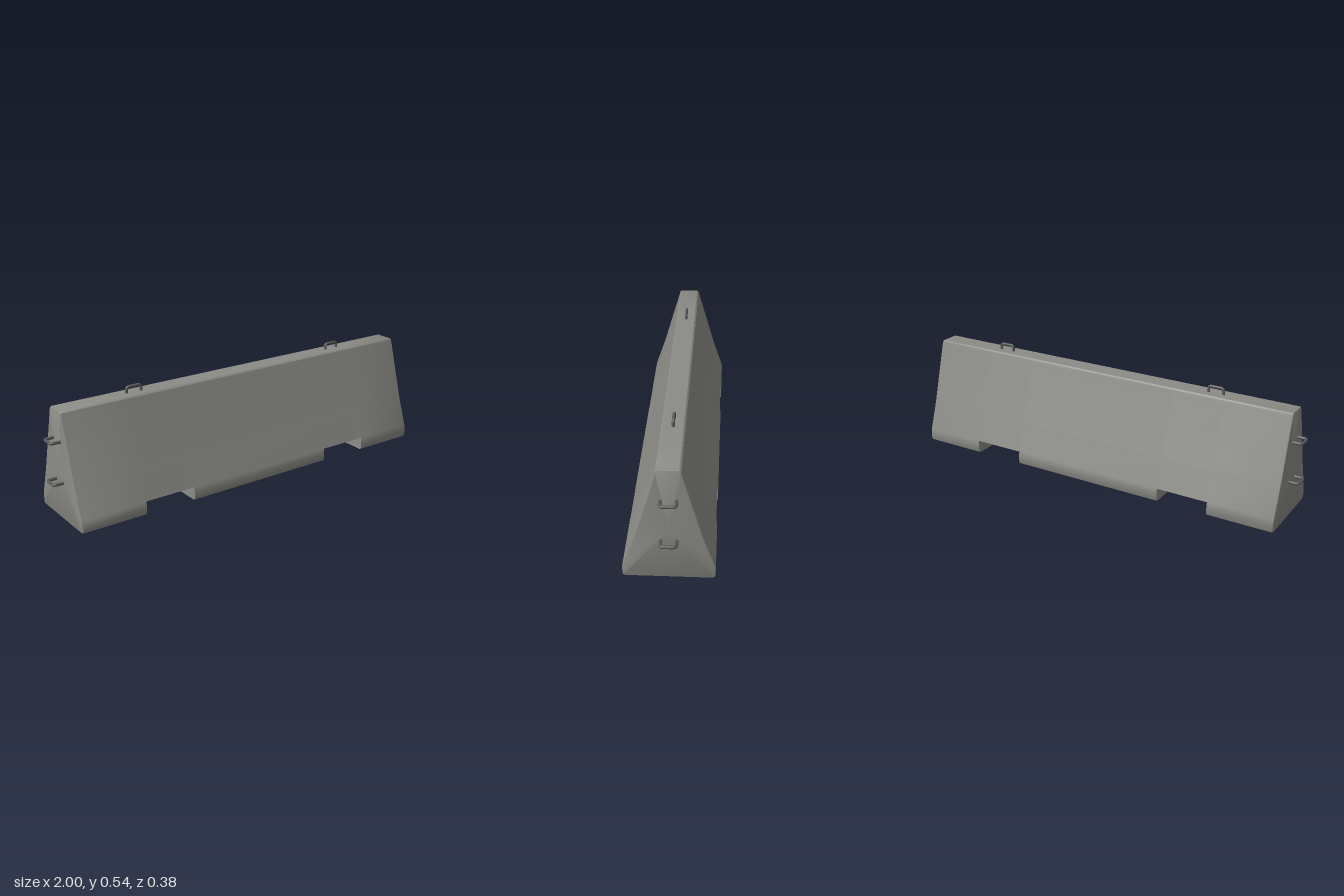
import * as THREE from 'three';
import { toCreasedNormals } from 'three/addons/utils/BufferGeometryUtils.js';

const concrete = new THREE.MeshStandardMaterial({ color: 0x8b8b86 });
concrete.name = 'concrete';
const steel = new THREE.MeshStandardMaterial({ color: 0x5a5a5a });
steel.name = 'steel';

// Half cross-section as [z, y], from the foot up to the top edge
const HALF = [[0.18, 0], [0.187, 0.003], [0.19, 0.01], [0.19, 0.045], [0.1885, 0.054],
  [0.186, 0.064], [0.139, 0.2], [0.0535, 0.492], [0.0505, 0.502], [0.043, 0.508]];
const SECTION = [...HALF, ...HALF.map(([z, y]) => [-z, y]).reverse()];
const NOTCH_TOP = 0.064;

// Cross-section with its foot cut away for a notch
const notched = SECTION.map(([z, y]) => (y < NOTCH_TOP ? [Math.sign(z) * 0.186, NOTCH_TOP] : [z, y]));
// Cross-section shrunk for the rounded ends
const inset = (d) => SECTION.map(([z, y]) => [z * (1 - d / 0.15), 0.23 + (y - 0.23) * (1 - d / 0.25)]);

function barrierBody() {
  const rightHalf = [
    [0.385, SECTION], [0.385, notched], [0.635, notched], [0.635, SECTION],
    [0.943, SECTION], [0.948, inset(0.002)], [0.95, inset(0.006)],
  ];
  const rings = [...rightHalf.map(([x, s]) => [-x, s]).reverse(), ...rightHalf];
  const n = SECTION.length;
  const pos = [], index = [];
  for (const [x, s] of rings) for (const [z, y] of s) pos.push(x, y, z);
  // Skin between neighbouring rings, including notch walls
  for (let r = 0; r < rings.length - 1; r++) {
    for (let i = 0; i < n; i++) {
      const j = (i + 1) % n;
      const a = r * n + i, b = a + n, c = (r + 1) * n + j, d = r * n + j;
      index.push(a, b, c, a, c, d);
    }
  }
  // End caps
  const left = pos.length / 3, last = (rings.length - 1) * n;
  pos.push(-0.95, 0.23, 0, 0.95, 0.23, 0);
  for (let i = 0; i < n; i++) {
    const j = (i + 1) % n;
    index.push(left, i, j, left + 1, last + j, last + i);
  }
  const geo = new THREE.BufferGeometry();
  geo.setAttribute('position', new THREE.Float32BufferAttribute(pos, 3));
  geo.setIndex(index);
  return toCreasedNormals(geo, 0.5);
}

// U-shaped bar: legs along y, spread along x, rounded corners
function loopGeometry(w, h, r, tube) {
  const v = (x, y) => new THREE.Vector3(x, y, 0);
  const path = new THREE.CurvePath();
  path.add(new THREE.LineCurve3(v(-w, 0), v(-w, h - r)));
  path.add(new THREE.QuadraticBezierCurve3(v(-w, h - r), v(-w, h), v(r - w, h)));
  path.add(new THREE.LineCurve3(v(r - w, h), v(w - r, h)));
  path.add(new THREE.QuadraticBezierCurve3(v(w - r, h), v(w, h), v(w, h - r)));
  path.add(new THREE.LineCurve3(v(w, h - r), v(w, 0)));
  return new THREE.TubeGeometry(path, 40, tube, 12);
}

export function createModel() {
  const model = new THREE.Group();
  model.name = 'concreteBarrier';
  const add = (name, geo, mat) => {
    const mesh = new THREE.Mesh(geo, mat);
    mesh.name = name;
    model.add(mesh);
    return mesh;
  };

  add('barrierBody', barrierBody(), concrete);

  const liftGeo = loopGeometry(0.036, 0.04, 0.014, 0.0065);
  const linkGeo = loopGeometry(0.032, 0.053, 0.014, 0.007);
  for (const s of [-1, 1]) {
    const side = s > 0 ? 'left' : 'right';
    // Lifting loop on the top
    add(side + 'LiftingLoop', liftGeo, steel).position.set(s * 0.571, 0.496, 0);
    // Coupling loops on the end
    for (const [level, y] of [['lower', 0.18], ['upper', 0.37]]) {
      const link = add(`${side}${level === 'lower' ? 'Lower' : 'Upper'}CouplingLoop`, linkGeo, steel);
      link.position.set(s * 0.94, y, 0);
      link.rotation.set(Math.PI / 2, 0, -s * Math.PI / 2);
    }
  }
  return model;
}
